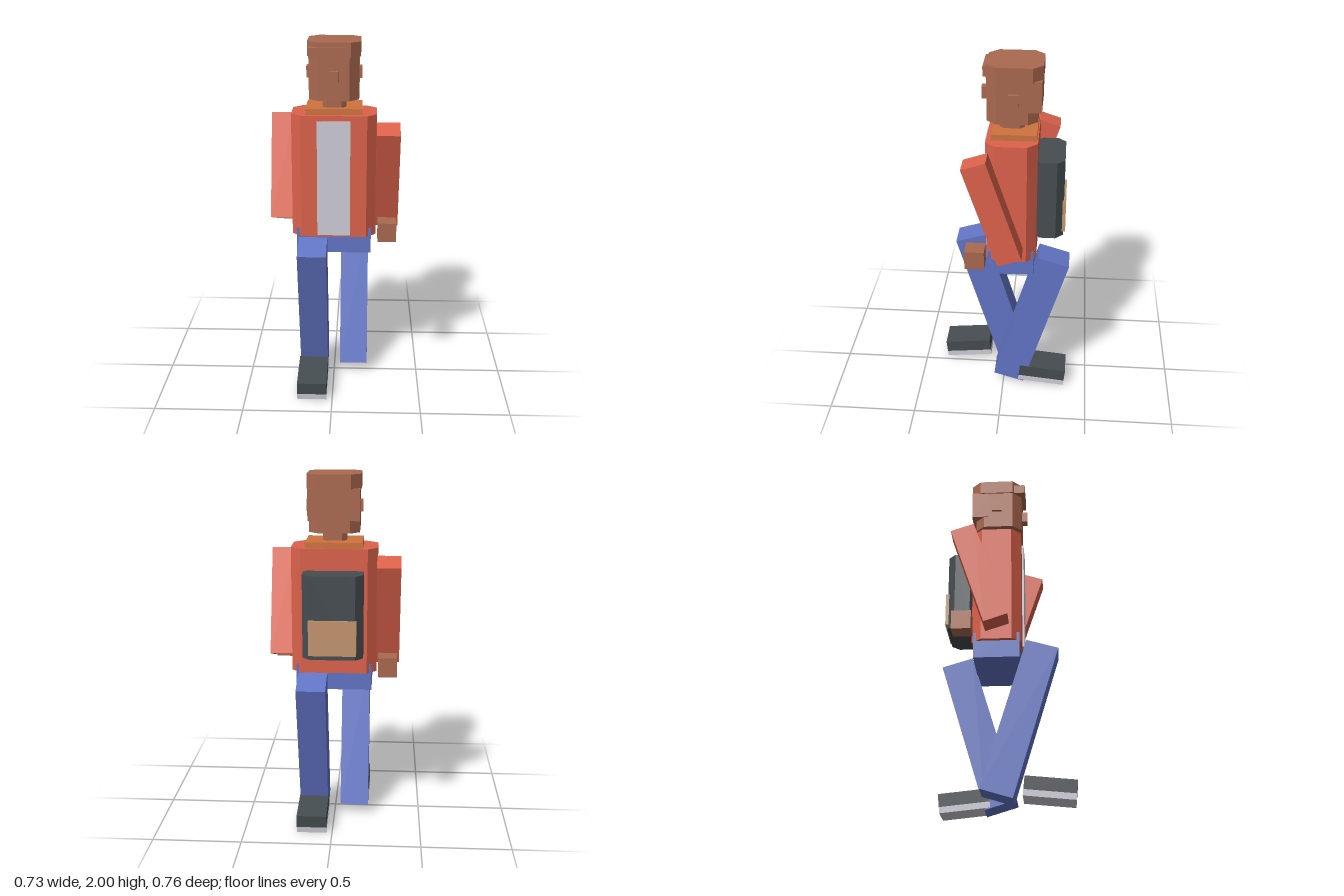
import * as THREE from 'three';

const mat = (name, color) => {
  const m = new THREE.MeshStandardMaterial({ color });
  m.name = name;
  return m;
};

export function createModel() {
  const red = mat('jacketRed', 0xdd624b);
  const blue = mat('denimBlue', 0x6275c6);
  const skin = mat('skinBrown', 0xab694f);
  const orange = mat('collarOrange', 0xd0733e);
  const dark = mat('charcoal', 0x464d51);
  const light = mat('lightGrey', 0xcfcdd8);
  const tan = mat('pocketTan', 0xc4966f);

  const model = new THREE.Group();
  model.name = 'walkingFigure';

  const add = (name, geometry, material, parent = model) => {
    const mesh = new THREE.Mesh(geometry, material);
    mesh.name = name;
    parent.add(mesh);
    return mesh;
  };

  // Box given by its [min, max] range on each axis
  const box = (name, material, [x0, x1], [y0, y1], [z0, z1]) => {
    const mesh = add(name, new THREE.BoxGeometry(x1 - x0, y1 - y0, z1 - z0), material);
    mesh.position.set((x0 + x1) / 2, (y0 + y1) / 2, (z0 + z1) / 2);
    return mesh;
  };

  // Upright block with its four vertical edges cut by c
  const chamferBlock = (name, material, hx, [y0, y1], [z0, z1], c) => {
    const hz = (z1 - z0) / 2;
    const shape = new THREE.Shape([
      [hx - c, -hz], [hx, c - hz], [hx, hz - c], [hx - c, hz],
      [c - hx, hz], [-hx, hz - c], [-hx, c - hz], [c - hx, -hz],
    ].map(([x, y]) => new THREE.Vector2(x, y)));
    const geometry = new THREE.ExtrudeGeometry(shape, { depth: y1 - y0, bevelEnabled: false });
    geometry.rotateX(-Math.PI / 2);
    const mesh = add(name, geometry, material);
    mesh.position.set(0, y0, (z0 + z1) / 2);
    return mesh;
  };

  // Head and hair
  chamferBlock('head', skin, 0.138, [1.685, 1.93], [-0.18, 0.095], 0.052);
  chamferBlock('hairTop', skin, 0.146, [1.92, 2.0], [-0.205, 0.096], 0.054);
  box('hairBack', skin, [-0.14, 0.14], [1.755, 1.925], [-0.2, -0.1]);
  box('fringe', skin, [-0.136, 0.06], [1.92, 1.975], [0.05, 0.117]);
  box('nose', skin, [-0.025, 0.025], [1.785, 1.85], [0.08, 0.127]);
  for (const side of [-1, 1]) {
    const ear = box('ear', skin, [0.12, 0.155], [1.79, 1.855], [-0.08, -0.024]);
    ear.position.x *= side;
  }
  chamferBlock('neck', skin, 0.066, [1.6, 1.7], [-0.108, 0.03], 0.025);

  // Torso
  box('collar', orange, [-0.157, 0.157], [1.59, 1.635], [-0.178, 0.066]);
  chamferBlock('jacket', red, 0.238, [0.9, 1.602], [-0.185, 0.094], 0.054);
  box('shirtFront', light, [-0.093, 0.092], [0.912, 1.573], [0.085, 0.105]);
  box('hips', blue, [-0.212, 0.212], [0.8, 0.948], [-0.173, 0.083]);

  // Backpack
  chamferBlock('backpack', dark, 0.165, [1.02, 1.482], [-0.332, -0.16], 0.042);
  box('backpackPocket', tan, [-0.13, 0.13], [1.045, 1.24], [-0.344, -0.32]);

  // Limbs swing in opposite directions on the two sides
  for (const side of [-1, 1]) {
    const label = side > 0 ? 'left' : 'right';
    const front = side > 0;

    const arm = add(label + 'Arm', new THREE.BoxGeometry(0.129, 0.607, 0.138), red);
    arm.position.set(side * 0.3, 1.255, front ? 0.047 : -0.135);
    arm.rotation.x = side * 0.32;

    const hand = add(label + 'Hand', new THREE.BoxGeometry(0.104, 0.108, 0.108), skin);
    hand.position.set(side * 0.3, 0.966, front ? 0.146 : -0.228);

    const leg = add(label + 'Leg', new THREE.BoxGeometry(0.162, 0.874, 0.182), blue);
    leg.position.set(side * 0.117, 0.46, front ? -0.161 : 0.082);
    leg.rotation.x = -side * 0.293;

    const shoe = new THREE.Group();
    shoe.name = label + 'Shoe';
    shoe.position.set(side * 0.117, 0.067, front ? -0.234 : 0.236);
    shoe.rotation.x = -side * 0.1;
    const upper = add('shoeUpper', new THREE.BoxGeometry(0.168, 0.072, 0.276), dark, shoe);
    upper.position.y = 0.017;
    const sole = add('shoeSole', new THREE.BoxGeometry(0.168, 0.034, 0.276), light, shoe);
    sole.position.y = -0.036;
    model.add(shoe);
  }

  return model;
}
